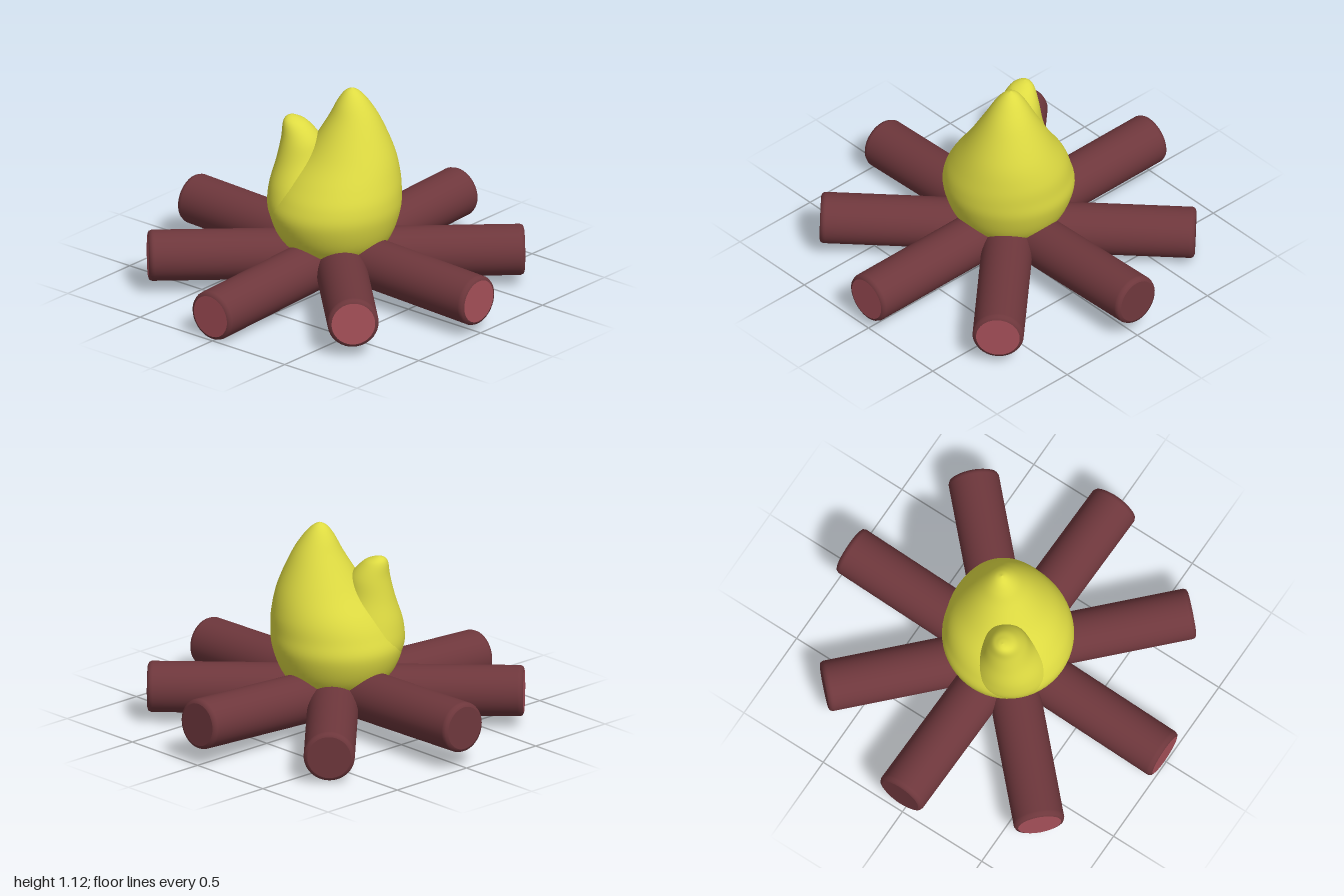
import * as THREE from 'three';

const BARK = new THREE.MeshStandardMaterial({ color: 0x6e373c });
const CUT_WOOD = new THREE.MeshStandardMaterial({ color: 0xa65059 });
const FLAME = new THREE.MeshStandardMaterial({ color: 0xdedb42 });

// Log between two end centres, with bevelled rims and a cut face at each end
function makeLog(name, start, end, startMaterial) {
  const a = new THREE.Vector3(...start);
  const b = new THREE.Vector3(...end);
  const h = a.distanceTo(b) / 2;
  const r = 0.135, bevel = 0.02;
  const half = [[r - bevel, h], [r - 0.006, h - 0.006], [r, h - bevel], [r, h - 0.03]];
  const profile = [
    ...half.map(([x, y]) => new THREE.Vector2(x, -y)),
    ...half.reverse().map(([x, y]) => new THREE.Vector2(x, y)),
  ];
  const log = new THREE.Group();
  log.name = name;
  const bark = new THREE.Mesh(new THREE.LatheGeometry(profile, 40), BARK);
  bark.name = 'bark';
  log.add(bark);
  for (const side of [-1, 1]) {
    const cap = new THREE.Mesh(new THREE.CircleGeometry(r - bevel, 40), side < 0 ? startMaterial : CUT_WOOD);
    cap.name = 'cutEnd';
    cap.position.y = side * h;
    cap.rotation.x = -side * Math.PI / 2;
    log.add(cap);
  }
  log.position.copy(a).add(b).multiplyScalar(0.5);
  log.quaternion.setFromUnitVectors(new THREE.Vector3(0, 1, 0), b.sub(a).normalize());
  return log;
}

// Smooth flame lofted through round sections [x, y, z, radius], bottom to top
function makeFlame(name, sections) {
  const centres = sections.map(([x, y, z]) => new THREE.Vector3(x, y, z));
  const radii = sections.map(([, , , r], i) => new THREE.Vector3(r, i, 0));
  // Uniform splines keep centre and radius in step
  const centreCurve = new THREE.CatmullRomCurve3(centres, false, 'catmullrom', 0.5);
  const radiusCurve = new THREE.CatmullRomCurve3(radii, false, 'catmullrom', 0.5);
  const rings = (sections.length - 1) * 6, sides = 56;
  const position = [], index = [];
  for (let i = 0; i <= rings; i++) {
    const c = centreCurve.getPoint(i / rings);
    const r = Math.max(0, radiusCurve.getPoint(i / rings).x);
    for (let j = 0; j < sides; j++) {
      const t = (j / sides) * Math.PI * 2;
      position.push(c.x + r * Math.sin(t), c.y, c.z + r * Math.cos(t));
      if (i === rings) continue;
      const k = (j + 1) % sides;
      const p = i * sides + j, q = i * sides + k;
      index.push(p, q, q + sides, p, q + sides, p + sides);
    }
  }
  const geometry = new THREE.BufferGeometry();
  geometry.setAttribute('position', new THREE.Float32BufferAttribute(position, 3));
  geometry.setIndex(index);
  geometry.computeVertexNormals();
  const mesh = new THREE.Mesh(geometry, FLAME);
  mesh.name = name;
  return mesh;
}

export function createModel() {
  const campfire = new THREE.Group();
  campfire.name = 'campfire';

  // Four long logs crossing at the middle, each slightly tilted
  campfire.add(
    makeLog('sidewaysLog', [-1, 0.235, -0.015], [1, 0.192, 0.015], BARK),
    makeLog('lengthwiseLog', [0, 0.235, -1], [-0.014, 0.142, 1], BARK),
    makeLog('diagonalLogLeft', [-0.69, 0.157, -0.7], [0.71, 0.197, 0.69], BARK),
    makeLog('diagonalLogRight', [0.71, 0.188, -0.69], [-0.72, 0.2, 0.68], CUT_WOOD),
  );

  // Tall main flame leaning back and to the left
  campfire.add(makeFlame('mainFlame', [
    [0, 0.12, 0, 0],
    [0, 0.15, 0, 0.12],
    [0, 0.22, 0, 0.22],
    [-0.005, 0.32, 0.005, 0.302],
    [-0.005, 0.45, 0.005, 0.346],
    [0.01, 0.55, -0.005, 0.335],
    [0.025, 0.65, -0.03, 0.3],
    [0.05, 0.78, -0.06, 0.232],
    [0.06, 0.95, -0.075, 0.142],
    [0.055, 1.05, -0.073, 0.085],
    [0.05, 1.105, -0.071, 0.04],
    [0.05, 1.127, -0.07, 0],
  ]));

  // Short flame growing out of the front right side
  campfire.add(makeFlame('smallFlame', [
    [-0.04, 0.2, 0.04, 0],
    [-0.05, 0.25, 0.05, 0.13],
    [-0.06, 0.34, 0.06, 0.215],
    [-0.085, 0.45, 0.075, 0.245],
    [-0.125, 0.58, 0.1, 0.195],
    [-0.15, 0.72, 0.1, 0.137],
    [-0.16, 0.84, 0.095, 0.106],
    [-0.188, 0.92, 0.105, 0.069],
    [-0.207, 0.95, 0.11, 0.033],
    [-0.215, 0.96, 0.11, 0],
  ]));

  return campfire;
}
